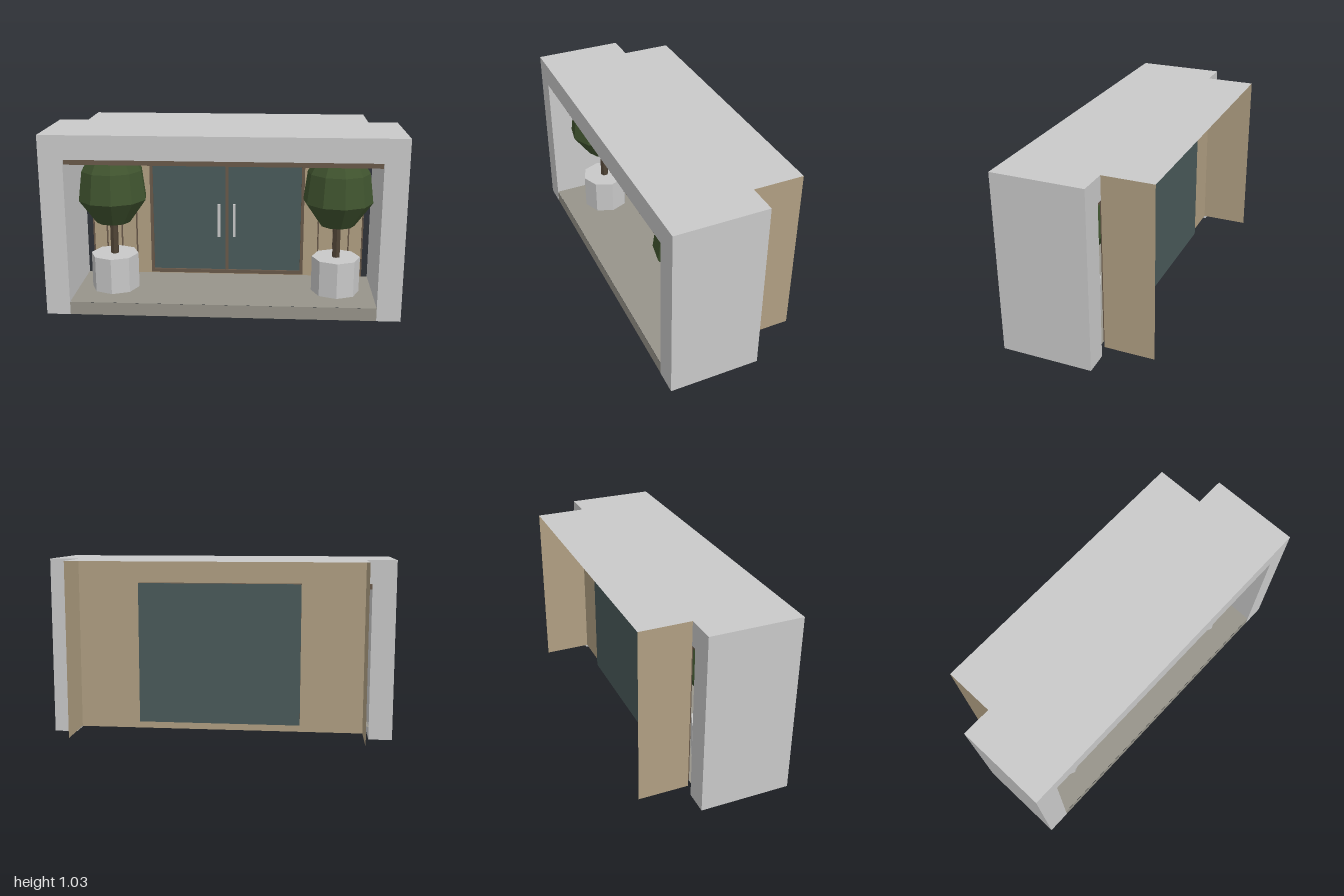
import * as THREE from 'three';

const material = (name, color, double) => {
  const m = new THREE.MeshStandardMaterial({ color });
  m.name = name;
  m.flatShading = true;
  if (double) m.side = THREE.DoubleSide;
  return m;
};

export function createModel() {
  const model = new THREE.Group();
  model.name = 'entrance';

  const render = material('pale grey render', 0xc9c9c9, true);
  const paving = material('warm grey paving', 0x97948a, true);
  const cladding = material('tan cladding', 0xb09f82, true);
  const wood = material('brown wood', 0x69594a);
  const glass = material('dark teal glass', 0x4a5a5a);
  const metal = material('light metal', 0xc8c8c8);
  const bark = material('dark bark', 0x4f4335);
  const leaf = material('leaf green', 0x40542f);

  const add = (parent, name, geometry, mat, x = 0, y = 0, z = 0) => {
    const mesh = new THREE.Mesh(geometry, mat);
    mesh.name = name;
    mesh.position.set(x, y, z);
    parent.add(mesh);
    return mesh;
  };
  // Box given by its limits on each axis
  const box = (parent, name, mat, [x0, x1], [y0, y1], [z0, z1]) =>
    add(parent, name, new THREE.BoxGeometry(x1 - x0, y1 - y0, z1 - z0), mat,
      (x0 + x1) / 2, (y0 + y1) / 2, (z0 + z1) / 2);
  // Upright sheet facing sideways, and level sheet facing up
  const sideSheet = (parent, name, mat, x, [y0, y1], [z0, z1]) => {
    const g = new THREE.PlaneGeometry(z1 - z0, y1 - y0).rotateY(Math.sign(x) * Math.PI / 2);
    return add(parent, name, g, mat, x, (y0 + y1) / 2, (z0 + z1) / 2);
  };
  const levelSheet = (parent, name, mat, halfWidth, y, [z0, z1]) => {
    const g = new THREE.PlaneGeometry(halfWidth * 2, z1 - z0).rotateX(-Math.PI / 2);
    return add(parent, name, g, mat, 0, y, (z0 + z1) / 2);
  };

  const front = 0.4, back = -0.115, top = 1.035, inner = 0.865, ceiling = 0.9, floor = 0.075;

  // Portal: hollow surround, open underneath
  const portal = new THREE.Group();
  portal.name = 'portal';
  model.add(portal);
  const arch = new THREE.Shape([
    [-1, 0], [-inner, 0], [-inner, ceiling], [inner, ceiling],
    [inner, 0], [1, 0], [1, top], [-1, top],
  ].map(([x, y]) => new THREE.Vector2(x, y)));
  add(portal, 'portalFront', new THREE.ShapeGeometry(arch), render, 0, 0, front);
  add(portal, 'portalBack', new THREE.ShapeGeometry(arch).rotateY(Math.PI), render, 0, 0, back);
  for (const s of [-1, 1]) {
    sideSheet(portal, 'outerSide', render, s, [0, top], [back, front]);
    sideSheet(portal, 'innerSide', render, s * inner, [0, ceiling], [back, front]);
  }
  levelSheet(portal, 'portalTop', render, 1, top, [back, front]);
  levelSheet(portal, 'ceiling', render, inner, ceiling, [back, front]);
  levelSheet(portal, 'rearRoof', render, 0.83, top, [-0.4, back]);

  // Floor: top sheet and front riser
  levelSheet(model, 'floor', paving, 0.998, floor, [back + 0.002, front - 0.002]);
  add(model, 'floorRiser', new THREE.PlaneGeometry(inner * 2, floor), paving, 0, floor / 2, front - 0.001);

  // Timber slats under the ceiling
  for (let i = 0; i < 8; i++) {
    const z = 0.37 - i * 0.065;
    box(model, 'ceilingSlat', wood, [-inner, inner], [0.87, 0.898], [z - 0.015, z + 0.015]);
  }

  // Clad wall with side returns towards the back
  const wallZ = back - 0.003;
  add(model, 'backWall', new THREE.PlaneGeometry(1.66, 1), cladding, 0, 0.535, wallZ);
  for (const s of [-1, 1]) {
    sideSheet(model, 'wallReturn', cladding, s * 0.83, [0.035, top], [-0.4, back]);
    for (const x of [0.5575, 0.65, 0.7425, 0.825]) {
      box(model, 'wallBatten', wood, [s * x - 0.004, s * x + 0.004], [floor, ceiling], [wallZ + 0.001, wallZ + 0.009]);
    }
  }

  // Glazed double door
  const door = new THREE.Group();
  door.name = 'doubleDoor';
  model.add(door);
  const frameZ = [-0.165, -0.095];
  for (const s of [-1, 1]) {
    const x = s * 0.459;
    box(door, 'jamb', wood, [x - 0.009, x + 0.009], [0.085, ceiling], frameZ);
  }
  box(door, 'sill', wood, [-0.45, 0.45], [0.085, 0.107], frameZ);
  box(door, 'head', wood, [-0.45, 0.45], [0.867, ceiling], frameZ);
  box(door, 'transom', wood, [-0.45, 0.45], [0.773, 0.794], [-0.11, -0.098]);
  box(door, 'mullion', wood, [-0.009, 0.009], [0.107, 0.867], [-0.11, -0.097]);
  box(door, 'glassFront', glass, [-0.45, 0.45], [0.107, 0.867], [-0.15, -0.108]);
  box(door, 'glassBack', glass, [-0.468, 0.468], [0.085, ceiling], [-0.169, -0.165]);

  // Pull handles on two short stand-offs
  for (const s of [-1, 1]) {
    const x = s * 0.046;
    box(door, 'handle', metal, [x - 0.008, x + 0.008], [0.33, 0.535], [-0.08, -0.064]);
    for (const y of [0.36, 0.5]) {
      box(door, 'handleMount', metal, [x - 0.005, x + 0.005], [y - 0.005, y + 0.005], [-0.108, -0.08]);
    }
  }

  // Potted trees on both sides
  const crown = [[0, 0.48], [0.1, 0.48], [0.2, 0.62], [0.178, 0.79], [0.125, 0.88], [0, 0.895]]
    .map(([r, y]) => new THREE.Vector2(r, y));
  for (const s of [-1, 1]) {
    const tree = new THREE.Group();
    tree.name = s > 0 ? 'leftTree' : 'rightTree';
    tree.position.set(s * 0.65, 0, 0.13);
    model.add(tree);
    add(tree, 'pot', new THREE.CylinderGeometry(0.14, 0.14, 0.21, 8), metal, 0, 0.18, 0);
    add(tree, 'trunk', new THREE.CylinderGeometry(0.024, 0.024, 0.23, 6), bark, 0, 0.39, 0);
    add(tree, 'foliage', new THREE.LatheGeometry(crown, 10, 0.13), leaf);
  }

  return model;
}
